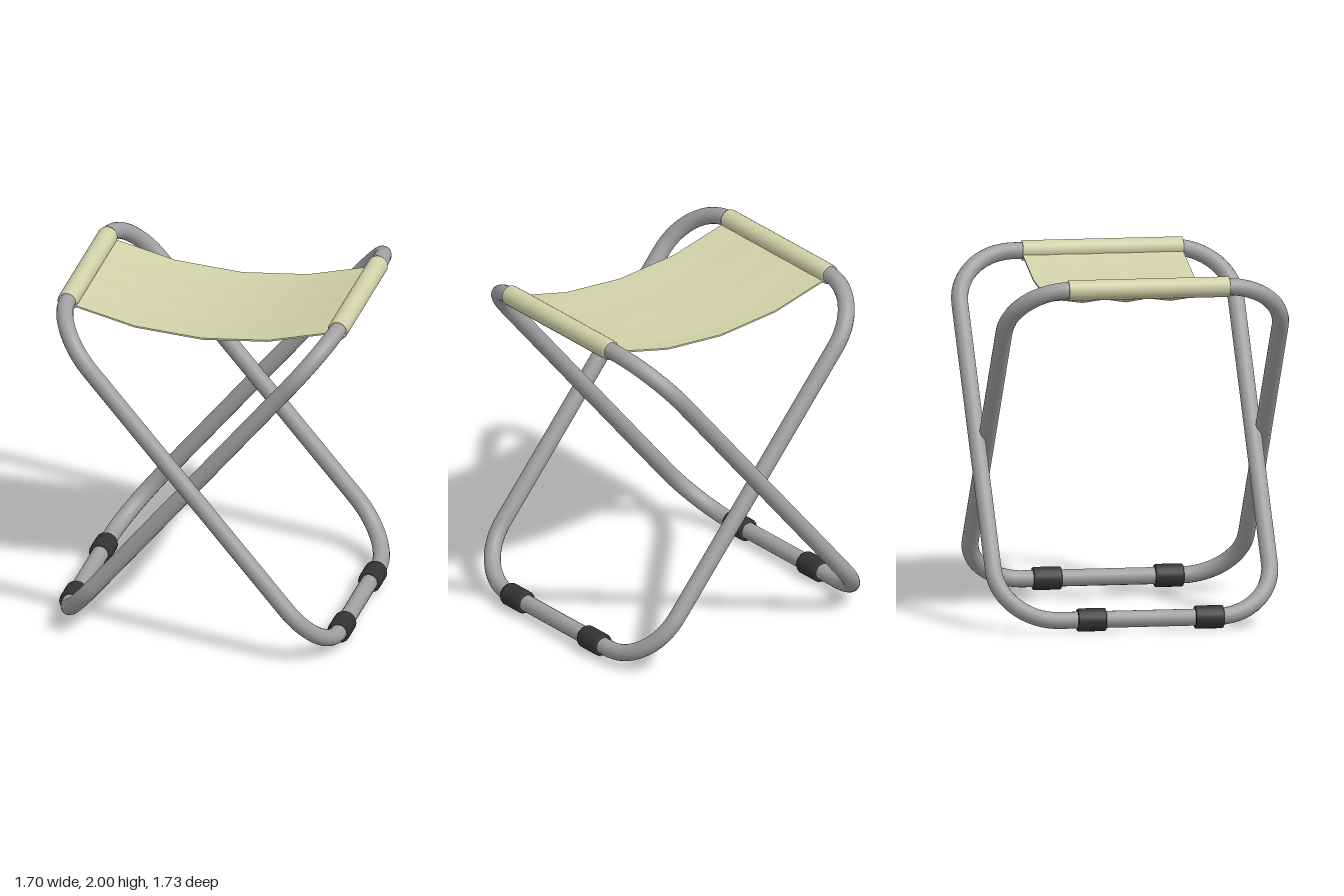
import * as THREE from 'three';

const metal = new THREE.MeshStandardMaterial({ color: 0xa0a0a0 });
const rubber = new THREE.MeshStandardMaterial({ color: 0x333333 });
const canvas = new THREE.MeshStandardMaterial({ color: 0xd0d0a8 });
const TUBE = 0.048;

function add(parent, name, geometry, material, x = 0, y = 0, z = 0) {
  const mesh = new THREE.Mesh(geometry, material);
  mesh.name = name;
  mesh.position.set(x, y, z);
  parent.add(mesh);
  return mesh;
}

// Closed rounded rectangle of tube: length along x, width along z
function loopGeometry(halfLength, halfWidth, r) {
  const path = new THREE.CurvePath();
  const V = (x, z) => new THREE.Vector3(x, 0, z);
  const a = halfLength, b = halfWidth, k = r * 0.448;
  const line = (p, q) => path.add(new THREE.LineCurve3(p, q));
  const corner = (p, c, d, q) => path.add(new THREE.CubicBezierCurve3(p, c, d, q));
  line(V(-a + r, b), V(a - r, b));
  corner(V(a - r, b), V(a - k, b), V(a, b - k), V(a, b - r));
  line(V(a, b - r), V(a, -b + r));
  corner(V(a, -b + r), V(a, -b + k), V(a - k, -b), V(a - r, -b));
  line(V(a - r, -b), V(-a + r, -b));
  corner(V(-a + r, -b), V(-a + k, -b), V(-a, -b + k), V(-a, -b + r));
  line(V(-a, -b + r), V(-a, b - r));
  corner(V(-a, b - r), V(-a, b - k), V(-a + k, b), V(-a + r, b));
  return new THREE.TubeGeometry(path, 200, TUBE, 16, true);
}

// One leg frame, shifted in depth, with its seat sleeve and two rubber feet
function legFrame(name, top, bottom, shift, footDepths) {
  const group = new THREE.Group();
  group.name = name;
  const dx = top.x - bottom.x, dy = top.y - bottom.y;
  const loop = add(group, name + 'Tube', loopGeometry(Math.hypot(dx, dy) / 2, 0.787, 0.34),
    metal, (top.x + bottom.x) / 2, (top.y + bottom.y) / 2, shift);
  loop.rotation.z = Math.atan2(dy, dx);

  // Open canvas sleeve with a visible wall, lathed around the top bar
  const wall = [[0.05, -0.458], [0.056, -0.458], [0.058, -0.45], [0.058, 0.45], [0.056, 0.458], [0.05, 0.458]];
  const sleeve = new THREE.LatheGeometry(wall.map(p => new THREE.Vector2(...p)), 20).rotateX(Math.PI / 2);
  add(group, 'seatSleeve', sleeve, canvas, top.x, top.y, 0.03);

  // Rubber feet gripping the bottom bar
  const grip = [[0.046, -0.08], [0.062, -0.08], [0.066, -0.072], [0.066, 0.072], [0.062, 0.08], [0.046, 0.08]];
  for (const z of footDepths) {
    const foot = new THREE.LatheGeometry(grip.map(p => new THREE.Vector2(...p)), 16).rotateX(Math.PI / 2);
    add(group, 'foot', foot, rubber, bottom.x, bottom.y, z);
  }
  return group;
}

// Sagging canvas sheet with shallow ripples across its depth
function seatGeometry() {
  const xs = [-0.775, -0.7, -0.4, -0.01, 0.37, 0.7, 0.76];
  const ys = [1.925, 1.907, 1.833, 1.803, 1.833, 1.912, 1.93];
  const zs = [-0.43, -0.4, -0.28, -0.155, -0.03, 0.09, 0.22, 0.35, 0.485];
  const dips = [0.003, 0, 0.022, 0, 0.025, 0, 0.022, 0, 0.003];
  const geo = new THREE.BoxGeometry(xs.length - 1, 1, zs.length - 1, xs.length - 1, 1, zs.length - 1);
  const pos = geo.attributes.position;
  for (let n = 0; n < pos.count; n++) {
    const i = Math.round(pos.getX(n) + (xs.length - 1) / 2);
    const j = Math.round(pos.getZ(n) + (zs.length - 1) / 2);
    const sag = (1.93 - ys[i]) / 0.127;
    pos.setXYZ(n, xs[i], ys[i] - dips[j] * sag + pos.getY(n) * 0.01, zs[j]);
  }
  geo.computeVertexNormals();
  return geo;
}

export function createModel() {
  const model = new THREE.Group();
  model.name = 'foldingStool';
  const P = (x, y) => new THREE.Vector2(x, y);
  // Equal frames, offset in depth so they pass side by side
  model.add(legFrame('forwardFrame', P(-0.792, 1.942), P(0.782, 0.076), 0.03, [0.41, -0.285]));
  model.add(legFrame('rearwardFrame', P(0.777, 1.942), P(-0.783, 0.068), -0.03, [0.375, -0.295]));
  add(model, 'seat', seatGeometry(), canvas);
  return model;
}
